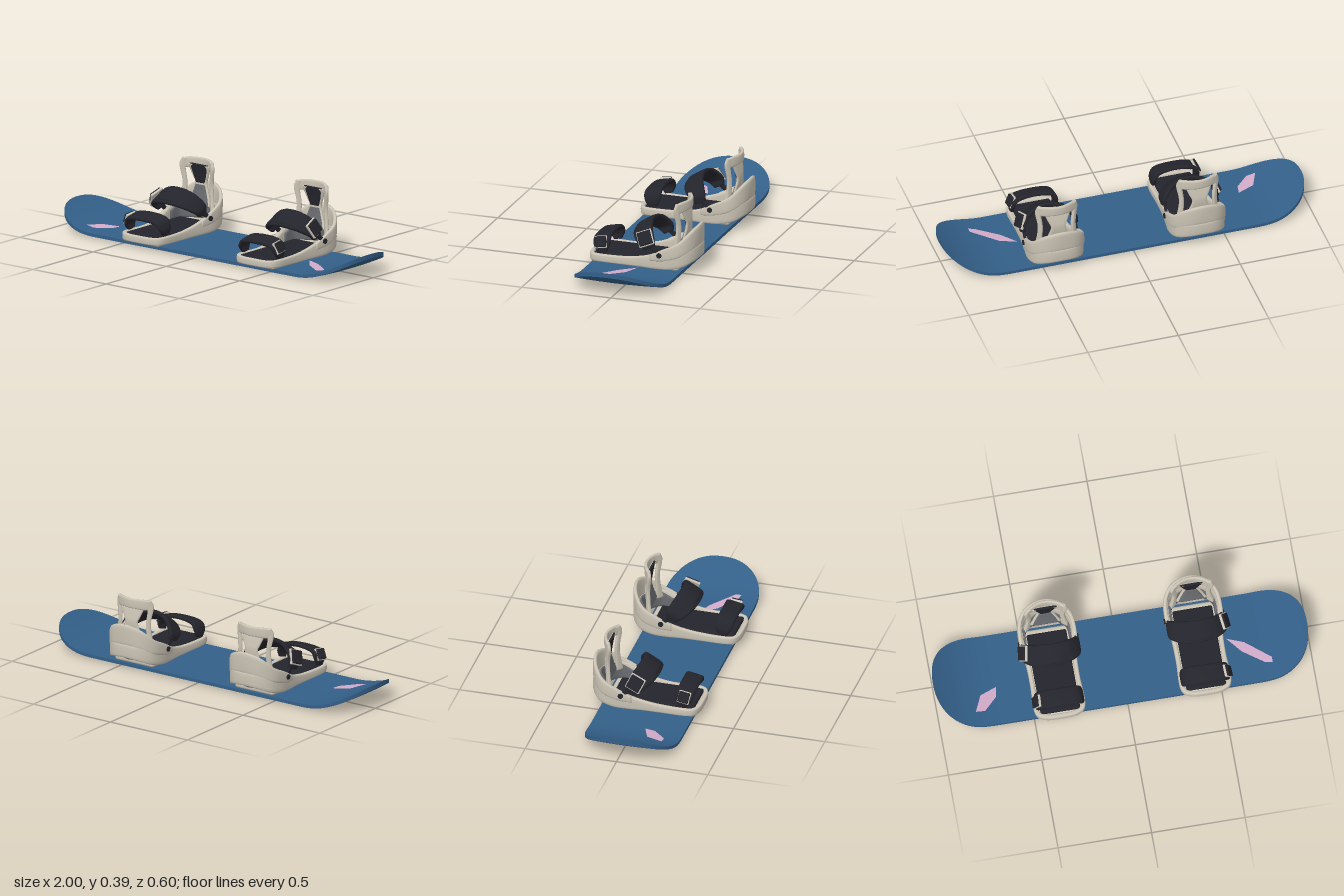
import * as THREE from 'three';
import { RoundedBoxGeometry } from 'three/addons/geometries/RoundedBoxGeometry.js';

const material = (name, color, side = THREE.FrontSide) => {
  const m = new THREE.MeshStandardMaterial({ color, side });
  m.name = name;
  return m;
};
const V = (x, y, z) => new THREE.Vector3(x, y, z);
const flip = (p) => V(-p.x, p.y, p.z);

// Points listed from one side to the centre line, continued on the other side
const arch = (half) => [...half, ...half.slice(0, -1).reverse().map(flip)];
// Points listed from toe centre to heel centre, closed round the other side
const loop = (half) => [...half, ...half.slice(1, -1).reverse().map(flip)];

// Rounded strip between two edge curves with matching points
function band(edgeA, edgeB, thick, closed = false, rows = 48) {
  const A = new THREE.CatmullRomCurve3(edgeA, closed, 'catmullrom');
  const B = new THREE.CatmullRomCurve3(edgeB, closed, 'catmullrom');
  const ring = 16, pos = [], index = [];
  const addRow = (t, size) => {
    const a = A.getPoint(t), b = B.getPoint(t);
    const mid = a.clone().add(b).multiplyScalar(0.5);
    const half = b.clone().sub(a).multiplyScalar(0.5);
    const normal = A.getTangent(t).add(B.getTangent(t)).cross(half).normalize();
    for (let j = 0; j < ring; j++) {
      const c = Math.cos((j / ring) * Math.PI * 2), s = Math.sin((j / ring) * Math.PI * 2);
      const u = Math.sign(c) * Math.abs(c) ** 0.5 * size;
      const v = Math.sign(s) * Math.abs(s) ** 0.6 * size * thick / 2;
      const p = mid.clone().addScaledVector(half, u).addScaledVector(normal, v);
      pos.push(p.x, p.y, p.z);
    }
  };
  if (!closed) addRow(0, 0);
  for (let i = 0; i < rows + (closed ? 0 : 1); i++) addRow(i / rows, 1);
  if (!closed) addRow(1, 0);
  const count = pos.length / 3 / ring;
  for (let i = 0; i < (closed ? count : count - 1); i++) {
    for (let j = 0; j < ring; j++) {
      const k = (j + 1) % ring, r = i * ring, s = ((i + 1) % count) * ring;
      index.push(r + j, r + k, s + j, r + k, s + k, s + j);
    }
  }
  const g = new THREE.BufferGeometry();
  g.setAttribute('position', new THREE.Float32BufferAttribute(pos, 3));
  g.setIndex(index);
  g.computeVertexNormals();
  return g;
}

// Board shape: upturned ends and rounded outline
const lift = (x) => 0.108 * Math.max(0, (Math.abs(x) - 0.68) / 0.32) ** 2.1;
const halfWidth = (x) => {
  const e = Math.min(1, Math.max(0, (Math.abs(x) - 0.75) / 0.25));
  return Math.max(0.01, 0.25 * (1 - e ** 2.3) ** (1 / 2.3));
};
const boardTop = 0.025, boardZ = 0.022;

function boardGeometry() {
  const g = new THREE.BoxGeometry(2, 1, 2, 110, 1, 16);
  const p = g.attributes.position;
  for (let i = 0; i < p.count; i++) {
    const x = Math.sin(p.getX(i) * Math.PI / 2), across = p.getZ(i);
    const z = across * halfWidth(x);
    const y = p.getY(i) > 0 ? boardTop : 0.008 * (z / 0.25) ** 2;
    p.setXYZ(i, x, y + lift(x), z + boardZ);
  }
  g.computeVertexNormals();
  return g;
}

// Flat patch laid on the top of the board
function patchGeometry(points) {
  const g = new THREE.ShapeGeometry(new THREE.Shape(points.map(([x, z]) => new THREE.Vector2(x, -z))));
  g.rotateX(-Math.PI / 2);
  const p = g.attributes.position;
  for (let i = 0; i < p.count; i++) p.setY(i, boardTop + 0.003 + lift(p.getX(i)));
  g.computeVertexNormals();
  return g;
}

export function createModel() {
  const model = new THREE.Group();
  model.name = 'snowboard';
  const blue = material('board blue', 0x335f88);
  const cream = material('binding cream', 0xcbc4b5);
  const dark = material('strap black', 0x24242c);
  const grey = material('lining grey', 0x696b70);
  const pink = material('patch pink', 0xd2abca, THREE.DoubleSide);

  const add = (parent, name, geometry, mat) => {
    const m = new THREE.Mesh(geometry, mat);
    m.name = name;
    parent.add(m);
    return m;
  };

  add(model, 'board', boardGeometry(), blue);
  add(model, 'rightPatch', patchGeometry(
    [[-0.67, 0.065], [-0.76, 0.1], [-0.8, 0.19], [-0.75, 0.19], [-0.68, 0.12]]), pink);
  add(model, 'leftPatch', patchGeometry(
    [[0.57, 0.005], [0.66, 0.04], [0.79, 0.15], [0.79, 0.18], [0.75, 0.17], [0.64, 0.09]]), pink);

  // side is the outward direction, where the buckles sit
  function binding(side) {
    const g = new THREE.Group();
    g.name = side > 0 ? 'leftBinding' : 'rightBinding';

    // Base plate, footbed and the wall running round toe, sides and heel
    add(g, 'basePlate', new RoundedBoxGeometry(0.25, 0.035, 0.49, 3, 0.015), cream).position.set(0, 0.038, 0.035);
    add(g, 'footbed', new RoundedBoxGeometry(0.212, 0.025, 0.45, 3, 0.01), dark).position.set(0, 0.06, 0.045);
    const stations = [
      [0, 0.292, 0.03, 0.07], [0.085, 0.285, 0.03, 0.07], [0.125, 0.245, 0.03, 0.072],
      [0.122, 0.1, 0.026, 0.072], [0.124, 0, 0.026, 0.086], [0.132, -0.08, 0.026, 0.112],
      [0.14, -0.16, 0.032, 0.145], [0.125, -0.23, 0.048, 0.155], [0.075, -0.274, 0.07, 0.155],
      [0, -0.286, 0.078, 0.155]];
    add(g, 'sideWall', band(loop(stations.map((s) => V(s[0], s[2], s[1]))),
      loop(stations.map((s) => V(s[0], s[3], s[1]))), 0.024, true, 96), cream);

    // Heel hoop, sloping up to the back
    add(g, 'heelHoop', band(
      arch([V(0.136, 0.07, -0.06), V(0.145, 0.08, -0.14), V(0.135, 0.105, -0.22), V(0.082, 0.135, -0.272), V(0, 0.145, -0.286)]),
      arch([V(0.136, 0.105, -0.06), V(0.145, 0.142, -0.13), V(0.136, 0.185, -0.215), V(0.09, 0.24, -0.268), V(0, 0.264, -0.29)]),
      0.022, false, 64), cream);
    add(g, 'heelLining', band(
      arch([V(0.12, 0.06, -0.12), V(0.105, 0.06, -0.2), V(0, 0.06, -0.255)]),
      arch([V(0.12, 0.11, -0.12), V(0.108, 0.15, -0.2), V(0, 0.17, -0.262)]), 0.012), grey);

    // Highback: a curved frame with a central spine and open sides
    const hb = (x, y, out = 0) => V(x, y, -0.234 + 0.046 * (x / 0.11) ** 2 + out);
    add(g, 'highbackTop', band(
      arch([hb(0.108, 0.335), hb(0.075, 0.335), hb(0.035, 0.34), hb(0, 0.34)]),
      arch([hb(0.106, 0.385), hb(0.075, 0.393), hb(0.035, 0.394), hb(0, 0.394)]), 0.018), cream);
    for (const s of [1, -1]) {
      add(g, 'highbackLeg', band(
        [hb(s * 0.08, 0.385), hb(s * 0.088, 0.34), hb(s * 0.08, 0.26), hb(s * 0.082, 0.2), hb(s * 0.085, 0.12)],
        [hb(s * 0.104, 0.388), hb(s * 0.114, 0.35), hb(s * 0.102, 0.27), hb(s * 0.106, 0.2), hb(s * 0.12, 0.12)],
        0.02), cream);
    }
    const spine = [[0.08, 0.36], [0.055, 0.3], [0.04, 0.26], [0.055, 0.21], [0.085, 0.14]];
    add(g, 'highbackSpine', band(spine.map(([x, y]) => hb(-x, y)), spine.map(([x, y]) => hb(x, y)), 0.016), cream);
    const strip = (pts) => band(pts.map(([x, y]) => hb(-x, y, 0.012)), pts.map(([x, y]) => hb(x, y, 0.012)), 0.012);
    add(g, 'highbackPad', strip([[0.062, 0.362], [0.045, 0.31], [0.028, 0.262]]), dark);
    add(g, 'lowerHighbackPad', strip([[0.03, 0.25], [0.045, 0.21], [0.072, 0.14]]), grey);

    // Ankle strap with a raised middle pad, and its tails down to the pivots
    add(g, 'ankleStrap', band(
      arch([V(0.142, 0.128, -0.035), V(0.142, 0.16, 0.01), V(0.085, 0.188, 0.05), V(0, 0.198, 0.062)]),
      arch([V(0.144, 0.155, -0.088), V(0.14, 0.195, -0.083), V(0.085, 0.25, -0.052), V(0, 0.266, -0.036)]),
      0.026, false, 64), dark);
    add(g, 'anklePad', band(
      arch([V(0.1, 0.192, 0.03), V(0.055, 0.207, 0.05), V(0, 0.212, 0.056)]),
      arch([V(0.104, 0.232, -0.06), V(0.055, 0.262, -0.044), V(0, 0.27, -0.036)]), 0.022), dark);
    for (const s of [1, -1]) {
      add(g, 'strapTail', band(
        [V(s * 0.142, 0.15, -0.05), V(s * 0.144, 0.102, -0.105)],
        [V(s * 0.142, 0.16, -0.078), V(s * 0.144, 0.118, -0.125)], 0.012, false, 8), dark);
      const bolt = add(g, 'pivotBolt', new THREE.CylinderGeometry(0.014, 0.014, 0.016, 16), dark);
      bolt.rotation.z = Math.PI / 2;
      bolt.position.set(s * 0.153, 0.11, -0.115);
    }

    // Toe strap
    add(g, 'toeStrap', band(
      arch([V(0.118, 0.075, 0.235), V(0.118, 0.11, 0.262), V(0.09, 0.142, 0.272), V(0, 0.15, 0.274)]),
      arch([V(0.118, 0.085, 0.19), V(0.118, 0.125, 0.174), V(0.09, 0.162, 0.176), V(0, 0.174, 0.18)]),
      0.024, false, 64), dark);

    // Buckles: a dark lever on a cream plate
    function buckle(name, x, y, z, size, pitch, tilt) {
      const b = new THREE.Group();
      b.name = name;
      add(b, 'bucklePlate', new RoundedBoxGeometry(0.014, size, size, 2, 0.004), cream);
      add(b, 'buckleLever', new RoundedBoxGeometry(0.018, size * 0.88, size * 0.88, 2, 0.005), dark)
        .position.x = side * 0.008;
      b.position.set(side * x, y, z);
      b.rotation.set(pitch, 0, side * tilt, 'ZXY');
      g.add(b);
    }
    buckle('ankleBuckle', 0.147, 0.195, -0.035, 0.085, 0.4, 0.4);
    buckle('toeBuckle', 0.118, 0.135, 0.223, 0.066, 0.15, 0.45);
    return g;
  }

  for (const [side, x] of [[-1, -0.36], [1, 0.42]]) {
    const b = binding(side);
    b.position.x = x;
    model.add(b);
  }
  return model;
}
